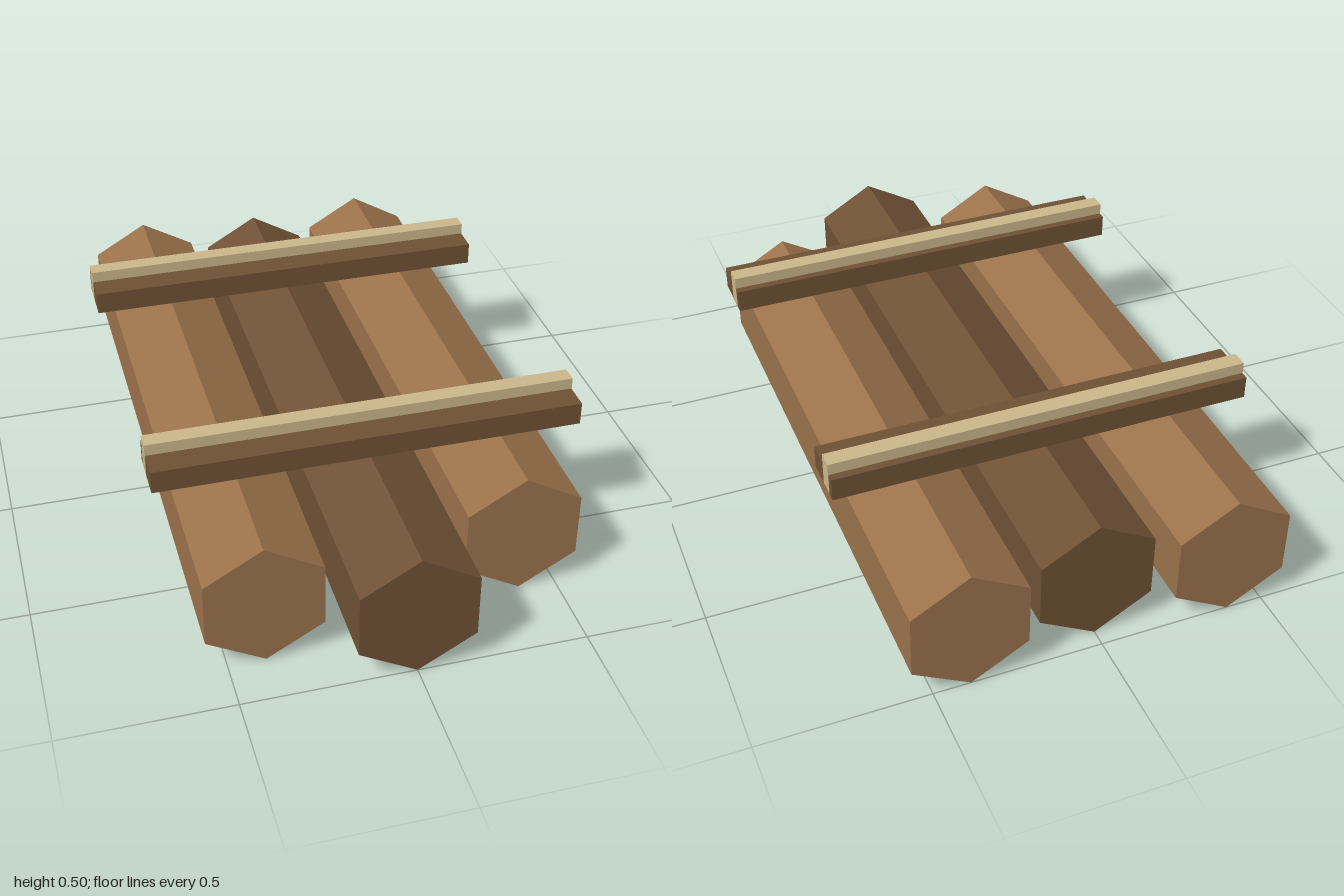
import * as THREE from 'three';

export function createModel() {
  const raft = new THREE.Group();
  raft.name = 'raft';

  const material = (name, color) => {
    const m = new THREE.MeshStandardMaterial({ color, flatShading: true });
    m.name = name;
    return m;
  };
  const lightWood = material('light wood', 0x9a724b);
  const darkWood = material('dark wood', 0x6f5135);
  const ropeTan = material('rope tan', 0xcab68a);

  const add = (name, geometry, mat, x, y, z) => {
    const mesh = new THREE.Mesh(geometry, mat);
    mesh.name = name;
    mesh.position.set(x, y, z);
    raft.add(mesh);
  };

  // Hexagonal logs, each with its own back and front end
  const radius = 0.195;
  const addLog = (name, mat, x, back, front) => {
    const log = new THREE.CylinderGeometry(radius, radius, front - back, 6);
    log.rotateX(Math.PI / 2);
    add(name, log, mat, x, radius, (back + front) / 2);
  };
  addLog('rightLog', lightWood, -0.39, -1, 0.85);
  addLog('middleLog', darkWood, 0, -0.95, 1);
  addLog('leftLog', lightWood, 0.39, -1, 0.75);

  // Crossbeams, each with a rope strip let into the top and showing at the ends
  const beam = new THREE.BoxGeometry(1.264, 0.07, 0.155);
  const rope = new THREE.BoxGeometry(1.266, 0.1, 0.05);
  for (const [side, z] of [['front', 0.463], ['back', -0.513]]) {
    add(side + 'Crossbeam', beam, darkWood, 0, 0.43, z);
    add(side + 'Rope', rope, ropeTan, 0, 0.45, z - 0.028);
  }

  return raft;
}
